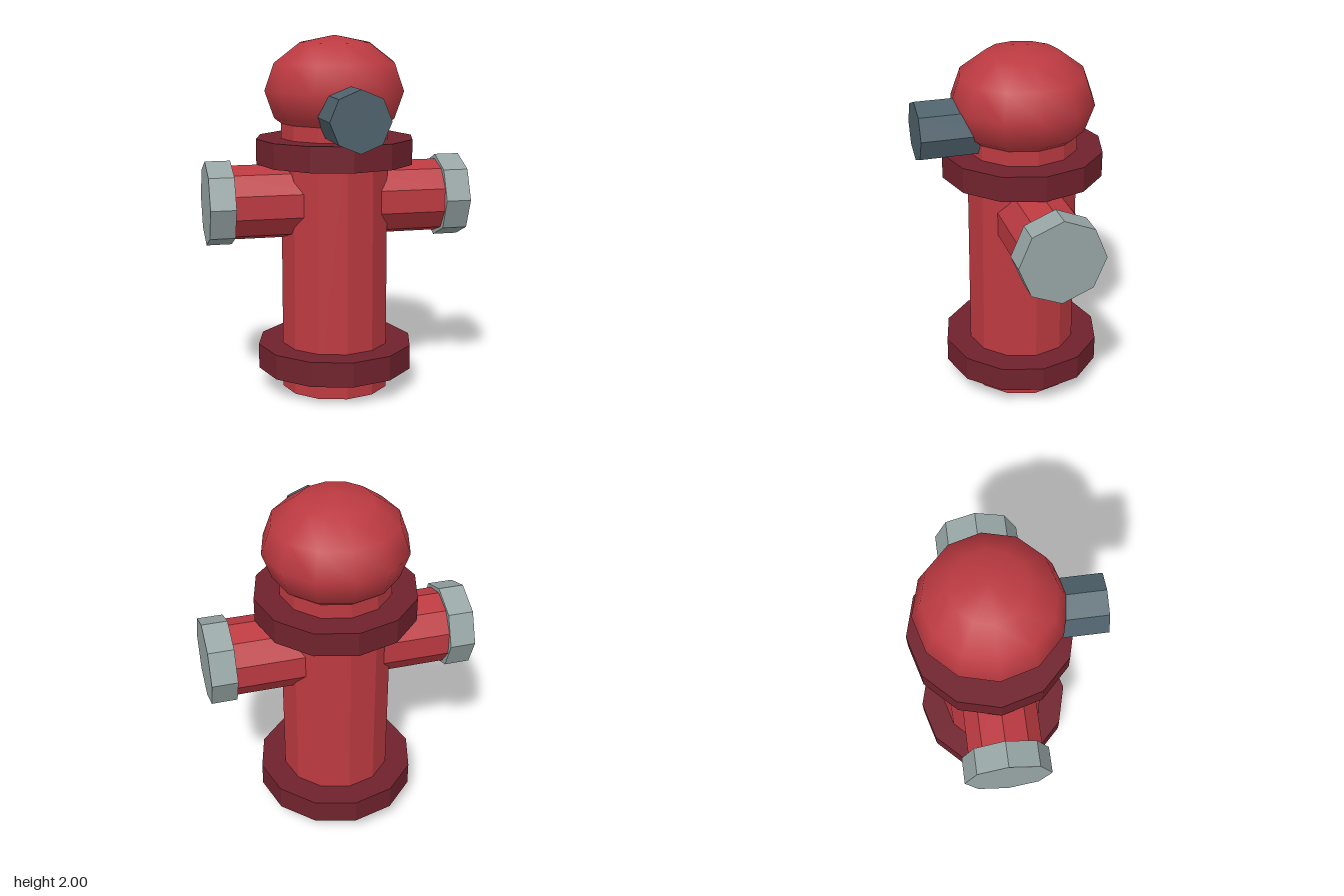
import * as THREE from 'three';

const mat = (name, color, flatShading = true) => {
  const m = new THREE.MeshStandardMaterial({ color, flatShading });
  m.name = name;
  return m;
};

export function createModel() {
  const red = mat('hydrant red', 0xbc3a41);
  const darkRed = mat('dark red', 0x70222d);
  const steel = mat('pale steel', 0x97a6a5);
  const slate = mat('slate', 0x4f626c);
  const smoothRed = red.clone(); // same red, smooth normals for the dome
  smoothRed.flatShading = false;

  const hydrant = new THREE.Group();
  hydrant.name = 'hydrant';
  const axisZ = -0.07;

  const add = (name, geometry, material, x, y, z = axisZ) => {
    const mesh = new THREE.Mesh(geometry, material);
    mesh.name = name;
    mesh.position.set(x, y, z);
    hydrant.add(mesh);
  };
  // Prism with a corner on each main axis
  const prism = (r, length, sides) =>
    new THREE.CylinderGeometry(r, r, length, sides, 1, false, Math.PI / 2);

  // Barrel and its two flanges
  add('barrel', prism(0.305, 1.52, 12), red, 0, 0.76);
  add('baseFlange', prism(0.445, 0.14, 12), darkRed, 0, 0.19);
  add('topFlange', prism(0.445, 0.14, 12), darkRed, 0, 1.367);

  // Squashed dome
  add('dome', new THREE.SphereGeometry(0.395, 12, 6).scale(1, 0.76, 1), smoothRed, 0, 1.7);

  // Side outlets with caps
  for (const [side, s] of [['left', 1], ['right', -1]]) {
    add(side + 'Outlet', prism(0.208, 0.5, 10).rotateZ(Math.PI / 2), red, s * 0.36, 1.087);
    add(side + 'OutletCap', prism(0.235, 0.14, 8).rotateZ(Math.PI / 2), steel, s * 0.66, 1.087);
  }

  // Front bolt
  add('frontBolt', prism(0.164, 0.42, 8).rotateX(Math.PI / 2), slate, 0, 1.58, 0.307);

  return hydrant;
}
